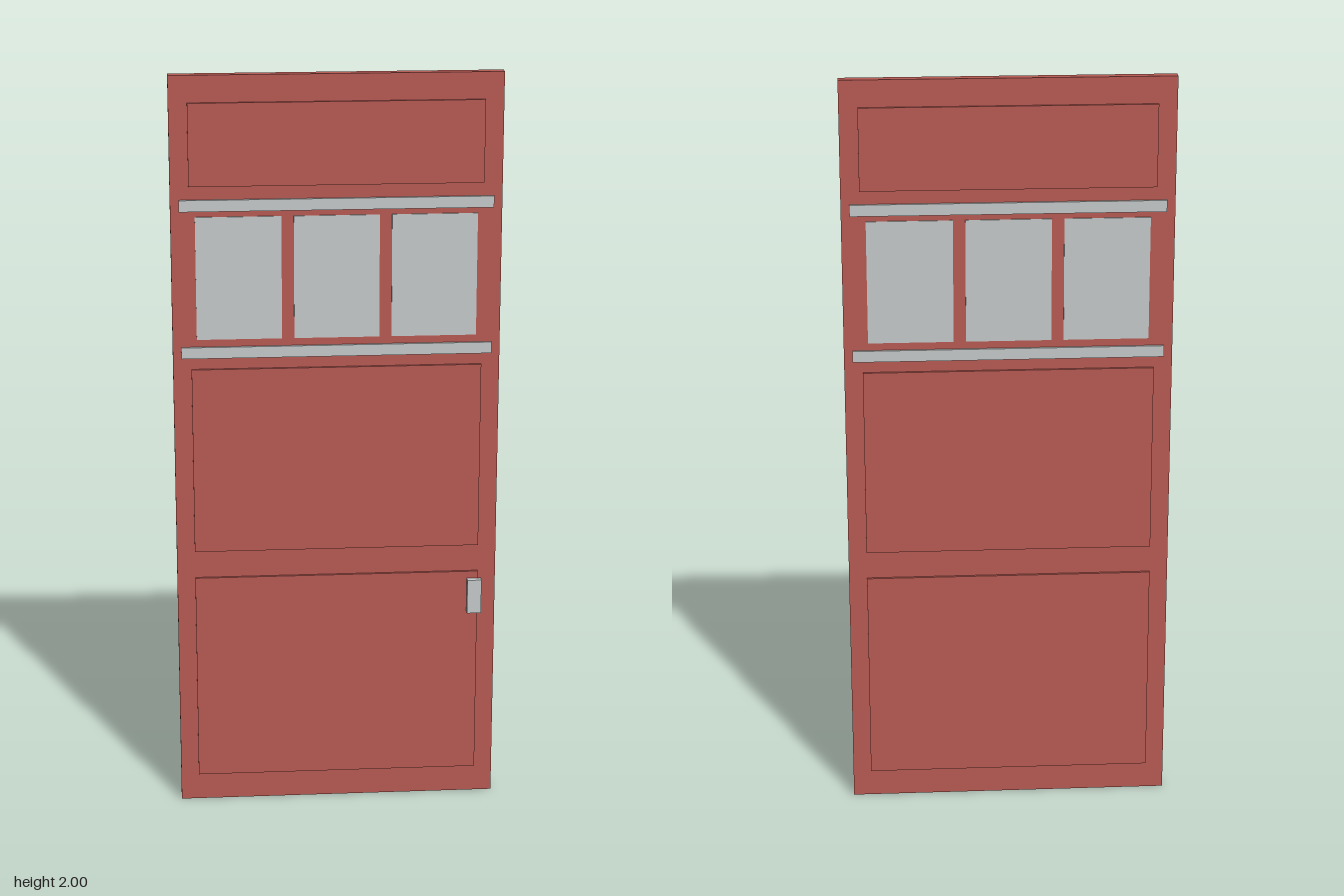
import * as THREE from 'three';

export function createModel() {
  const red = new THREE.MeshStandardMaterial({ color: 0xb85b54 });
  red.name = 'redPaint';
  const grey = new THREE.MeshStandardMaterial({ color: 0xc6caca });
  grey.name = 'paleGrey';

  const door = new THREE.Group();
  door.name = 'door';
  const mid = -0.0095; // the leaf sits behind centre to make room for the handle

  // Box given by its limits on each axis
  function box(name, material, [x0, x1], [y0, y1], [z0, z1]) {
    const mesh = new THREE.Mesh(new THREE.BoxGeometry(x1 - x0, y1 - y0, z1 - z0), material);
    mesh.position.set((x0 + x1) / 2, (y0 + y1) / 2, (z0 + z1) / 2);
    mesh.name = name;
    door.add(mesh);
  }

  // Door leaf
  box('leaf', red, [-0.428, 0.428], [0, 2], [mid - 0.0145, mid + 0.0145]);

  // Details raised on both faces
  for (const [side, s] of [['front', 1], ['back', -1]]) {
    const depth = (d) => [mid + s * 0.0135, mid + s * d].sort((a, b) => a - b);

    // Raised panels: lower, middle, upper
    [[0.075, 0.65], [0.725, 1.23], [1.715, 1.93]].forEach((y, i) =>
      box(`${side}Panel${i + 1}`, red, [-0.38, 0.38], y, depth(0.0215)));

    // Trim rails above and below the windows
    [[1.26, 1.29], [1.65, 1.68]].forEach((y, i) =>
      box(`${side}Rail${i + 1}`, grey, [-0.406, 0.406], y, depth(0.0215)));

    // Three window panes
    [-0.254, 0, 0.254].forEach((x, i) =>
      box(`${side}Window${i + 1}`, grey, [x - 0.111, x + 0.111], [1.31, 1.635], depth(0.0175)));
  }

  // Handle plate, front only
  box('handle', grey, [0.351, 0.389], [0.535, 0.63], [mid + 0.0205, 0.029]);

  return door;
}
